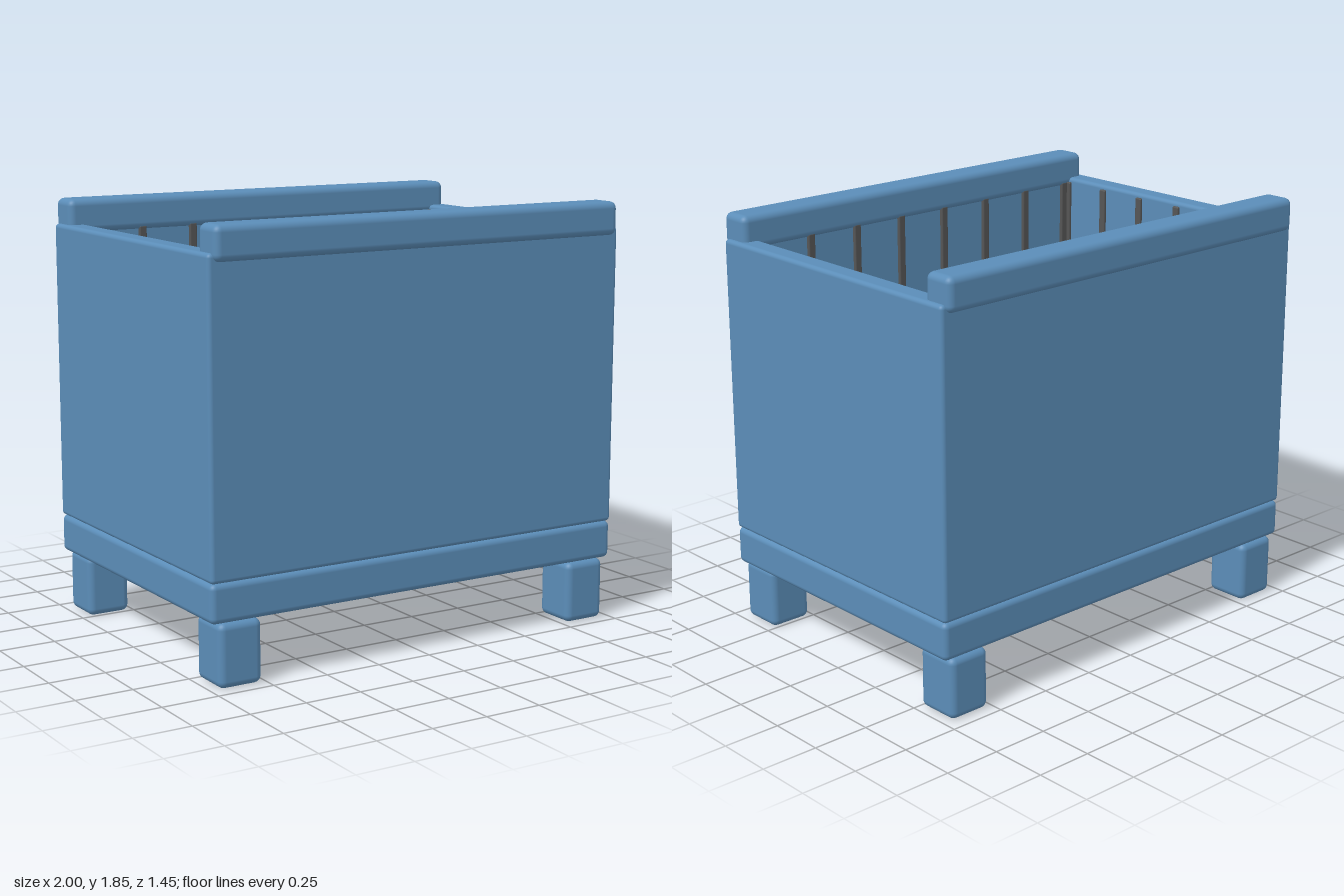
import * as THREE from 'three';
import { RoundedBoxGeometry } from 'three/addons/geometries/RoundedBoxGeometry.js';

const paint = (color) => new THREE.MeshStandardMaterial({ color });

export function createModel() {
  const model = new THREE.Group();
  const blue = paint(0x5b8db8), dark = paint(0x5a5c66), rodGrey = paint(0x555555), light = paint(0xcccccc);

  // Rounded box given by its [min, max] range on each axis
  function block(name, [x0, x1], [y0, y1], [z0, z1], radius, material) {
    const mesh = new THREE.Mesh(new RoundedBoxGeometry(x1 - x0, y1 - y0, z1 - z0, 3, radius), material);
    mesh.position.set((x0 + x1) / 2, (y0 + y1) / 2, (z0 + z1) / 2);
    mesh.name = name;
    model.add(mesh);
  }
  // Range centred on c, and a positive range mirrored by sign s
  const around = (c, size) => [c - size / 2, c + size / 2];
  const mirror = ([a, b], s) => (s > 0 ? [a, b] : [-b, -a]);

  // Base slab
  block('base', [-1, 1], [0.27, 0.435], [-0.7, 0.7], 0.025, blue);

  // Four feet
  for (const sx of [-1, 1])
    for (const sz of [-1, 1])
      block('foot', mirror([0.77, 0.965], sx), [0, 0.27], mirror([0.5, 0.7], sz), 0.03, blue);

  const wallY = [0.435, 1.735], rodY = [0.435, 1.715];
  for (const s of [-1, 1]) {
    // Walls and long top rails
    block('sideWall', mirror([0.9, 1], s), wallY, [-0.7, 0.7], 0.018, blue);
    block('longWall', [-1, 1], wallY, mirror([0.6, 0.7], s), 0.018, blue);
    block('topRail', [-0.98, 0.98], [1.7, 1.845], mirror([0.58, 0.725], s), 0.03, blue);

    // Upright ribs along the inner faces of the walls
    for (let i = 0; i < 8; i++)
      block('longWallRib', around(-0.875 + 0.25 * i, 0.035), rodY, mirror([0.585, 0.61], s), 0.006, rodGrey);
    for (let i = 0; i < 6; i++)
      block('sideWallRib', mirror([0.888, 0.91], s), rodY, around(-0.583 + 0.2333 * i, 0.035), 0.006, rodGrey);
  }

  // Stacked contents: pale block with a dark block on top
  block('lowerBlock', [-0.75, 0.75], [0.435, 0.95], [-0.415, 0.41], 0.05, light);
  block('upperBlock', [-0.6, 0.73], [0.95, 1.35], [-0.335, 0.395], 0.05, dark);

  return model;
}
